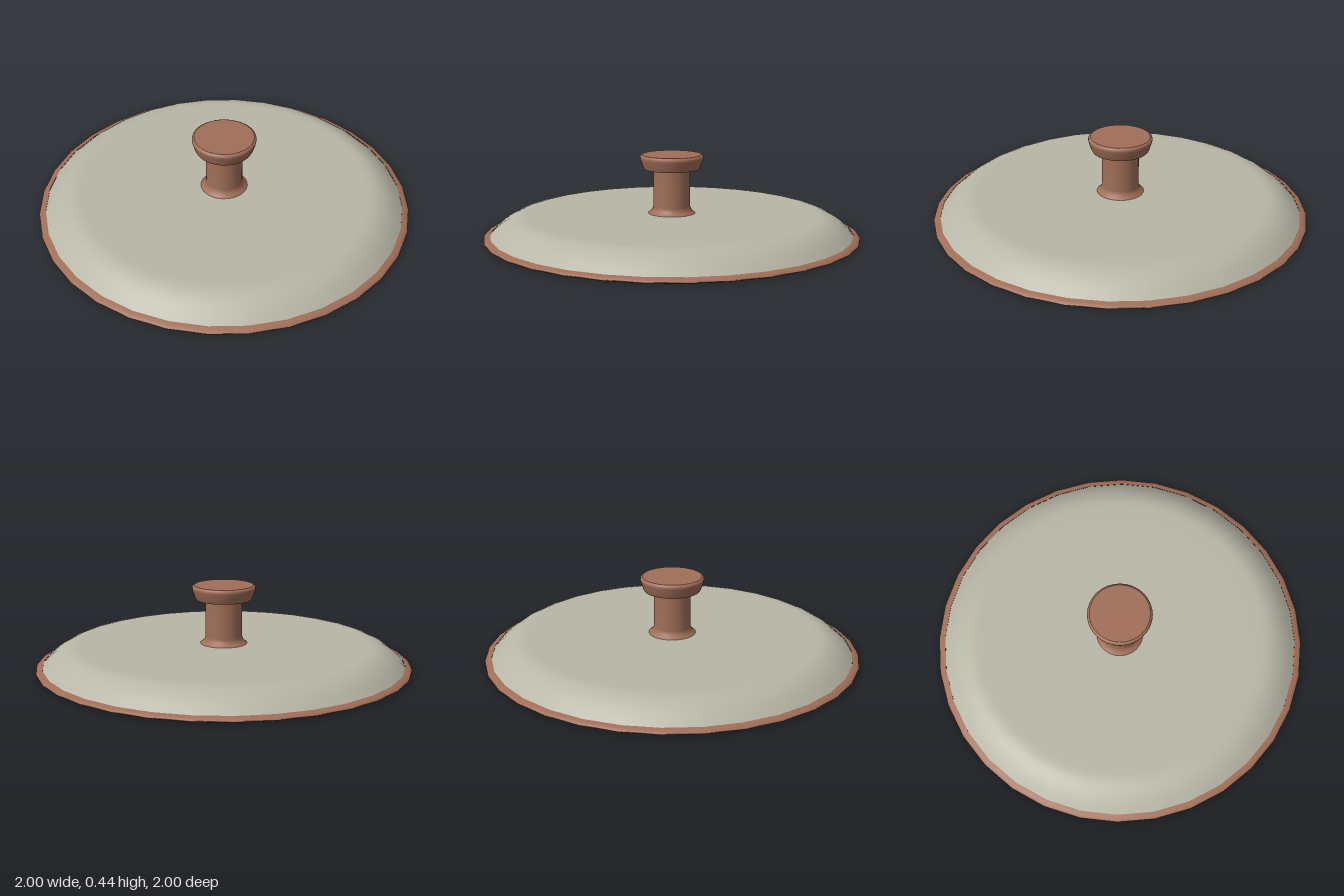
import * as THREE from 'three';

const SIDES = 32;

// Turns a [radius, height] profile, listed from the underside round to the top.
function turned(name, profile, material, sides = SIDES) {
  const points = profile.map(([r, y]) => new THREE.Vector2(r, y));
  const mesh = new THREE.Mesh(new THREE.LatheGeometry(points, sides), material);
  mesh.name = name;
  return mesh;
}

export function createModel() {
  const group = new THREE.Group();
  group.name = 'panLid';
  const brown = new THREE.MeshStandardMaterial({ color: 0xa06e58 });
  const pale = new THREE.MeshStandardMaterial({ color: 0xb8b6a6 });

  // Flat underside and rim band
  group.add(turned('underside', [[0, 0], [0.985, 0]], brown));
  group.add(turned('rim', [[0.985, 0], [1, 0.006], [1, 0.012], [0.985, 0.02], [0.965, 0.025]], brown));

  // Rounded shoulder running into a flat top
  group.add(turned('dome', [
    [0.965, 0.023], [0.945, 0.042], [0.92, 0.065], [0.89, 0.087],
    [0.86, 0.103], [0.83, 0.115], [0.8, 0.121], [0.77, 0.122], [0.7, 0.122], [0, 0.122],
  ], pale));

  // Knob: flared foot and stem, then the cap in sections to keep its edges crisp
  const knob = new THREE.Group();
  knob.name = 'knob';
  knob.add(
    turned('stem', [[0.128, 0.12], [0.115, 0.13], [0.104, 0.142], [0.098, 0.16], [0.098, 0.36]], brown),
    turned('capUnderside', [[0.09, 0.36], [0.148, 0.36]], brown),
    turned('capSide', [[0.148, 0.36], [0.155, 0.372], [0.168, 0.412], [0.17, 0.422], [0.168, 0.431], [0.158, 0.437]], brown),
    turned('capTop', [[0.158, 0.437], [0, 0.437]], brown),
  );
  group.add(knob);
  return group;
}
